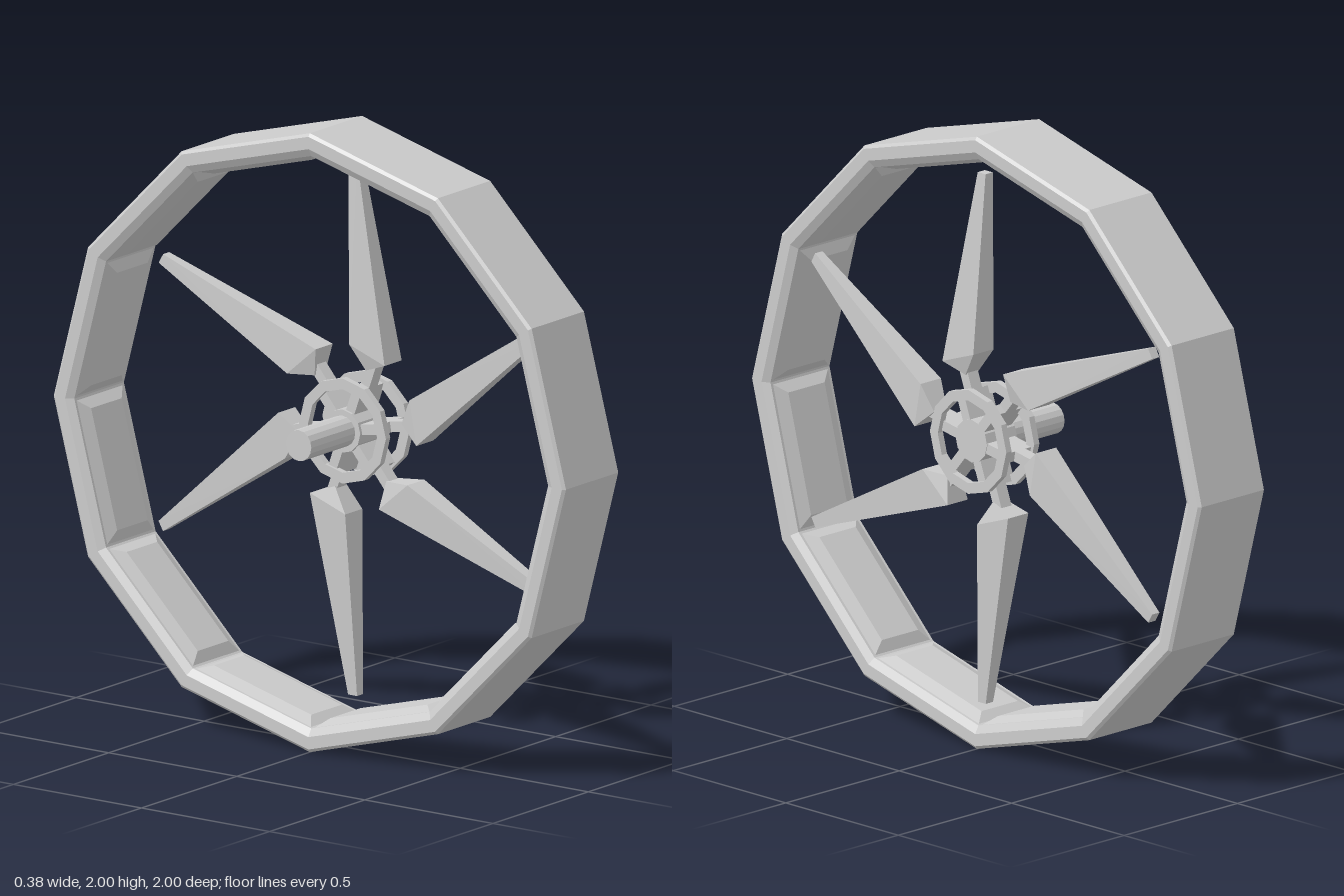
import * as THREE from 'three';
import { ConvexGeometry } from 'three/addons/geometries/ConvexGeometry.js';

const material = new THREE.MeshStandardMaterial({ color: 0xcccccc, flatShading: true });

function addMesh(parent, geometry, name) {
  const mesh = new THREE.Mesh(geometry, material);
  mesh.name = name;
  parent.add(mesh);
  return mesh;
}

// Turned part around the x axis from closed [radius, x] profile
function turned(profile, sides) {
  const points = profile.map(([r, x]) => new THREE.Vector2(r, x));
  return new THREE.LatheGeometry(points, sides).rotateZ(-Math.PI / 2);
}

// Solid cylinder along x between two positions
function rod(radius, x0, x1, sides) {
  return new THREE.CylinderGeometry(radius, radius, x1 - x0, sides)
    .rotateZ(-Math.PI / 2).translate((x0 + x1) / 2, 0, 0);
}

function ring(inner, outer, x0, x1, sides) {
  return turned([[outer, x0], [outer, x1], [inner, x1], [inner, x0], [outer, x0]], sides);
}

// Tapered blade: [across, up, half thickness] outline, thickest at its shoulders
function bladeGeometry(x) {
  const outline = [
    [-0.146, 0.227, 0.045], [-0.06, 0.196, 0.028], [-0.008, 0.276, 0.045],
    [0.017, 0.865, 0.016], [-0.018, 0.865, 0.016],
  ];
  const points = outline.flatMap(([u, v, t]) => [
    new THREE.Vector3(x - t, v, -u), new THREE.Vector3(x + t, v, -u),
  ]);
  return new ConvexGeometry(points);
}

// Slightly raised lining panel on one inner facet of the rim
function panelGeometry() {
  const half = 0.925 * Math.sin(Math.PI / 12);
  const apothem = 0.925 * Math.cos(Math.PI / 12);
  const points = [];
  for (const s of [-1, 1]) {
    for (const x of [-0.11, 0.15]) points.push(new THREE.Vector3(x, apothem + 0.004, s * half));
    for (const x of [-0.06, 0.1]) points.push(new THREE.Vector3(x, apothem - 0.018, s * half * 0.82));
  }
  return new ConvexGeometry(points);
}

export function createModel() {
  const model = new THREE.Group();
  model.name = 'wheel';

  // Twelve-sided rim with chamfered edges
  const rim = new THREE.Group();
  rim.name = 'rim';
  rim.position.y = 1;
  model.add(rim);
  addMesh(rim, turned([
    [1, -0.117], [1, 0.157], [0.99, 0.165], [0.95, 0.165], [0.925, 0.15],
    [0.925, -0.11], [0.95, -0.125], [0.99, -0.125], [1, -0.117],
  ], 12), 'rimBand');
  const panel = panelGeometry();
  for (let i = 0; i < 12; i++) {
    addMesh(rim, panel, 'rimPanel').rotation.x = (i + 0.5) * Math.PI / 6;
  }

  // Hub, axle and the two rings that hold the blades
  const hub = new THREE.Group();
  hub.name = 'hub';
  hub.position.set(0, 1.007, 0.01);
  model.add(hub);
  addMesh(hub, rod(0.05, -0.19, 0.06, 16), 'axle');
  addMesh(hub, rod(0.07, 0.04, 0.172, 12), 'hubCore');
  addMesh(hub, ring(0.135, 0.17, 0.163, 0.186, 12), 'outerRing');
  addMesh(hub, ring(0.135, 0.17, 0.04, 0.063, 12), 'innerRing');

  // Six blades, each with a spoke between the rings and a slim neck
  const bladeX = 0.11;
  const blade = bladeGeometry(bladeX);
  const spoke = new THREE.BoxGeometry(0.12, 0.1, 0.034).translate(bladeX, 0.105, 0);
  const neck = new THREE.BoxGeometry(0.045, 0.12, 0.034).translate(bladeX, 0.17, 0);
  for (let i = 0; i < 6; i++) {
    const arm = new THREE.Group();
    arm.name = 'bladeArm';
    arm.rotation.x = i * Math.PI / 3;
    hub.add(arm);
    addMesh(arm, blade, 'blade');
    addMesh(arm, spoke, 'spoke').rotation.x = 0.35;
    addMesh(arm, neck, 'bladeNeck').rotation.x = 0.35;
  }
  return model;
}
